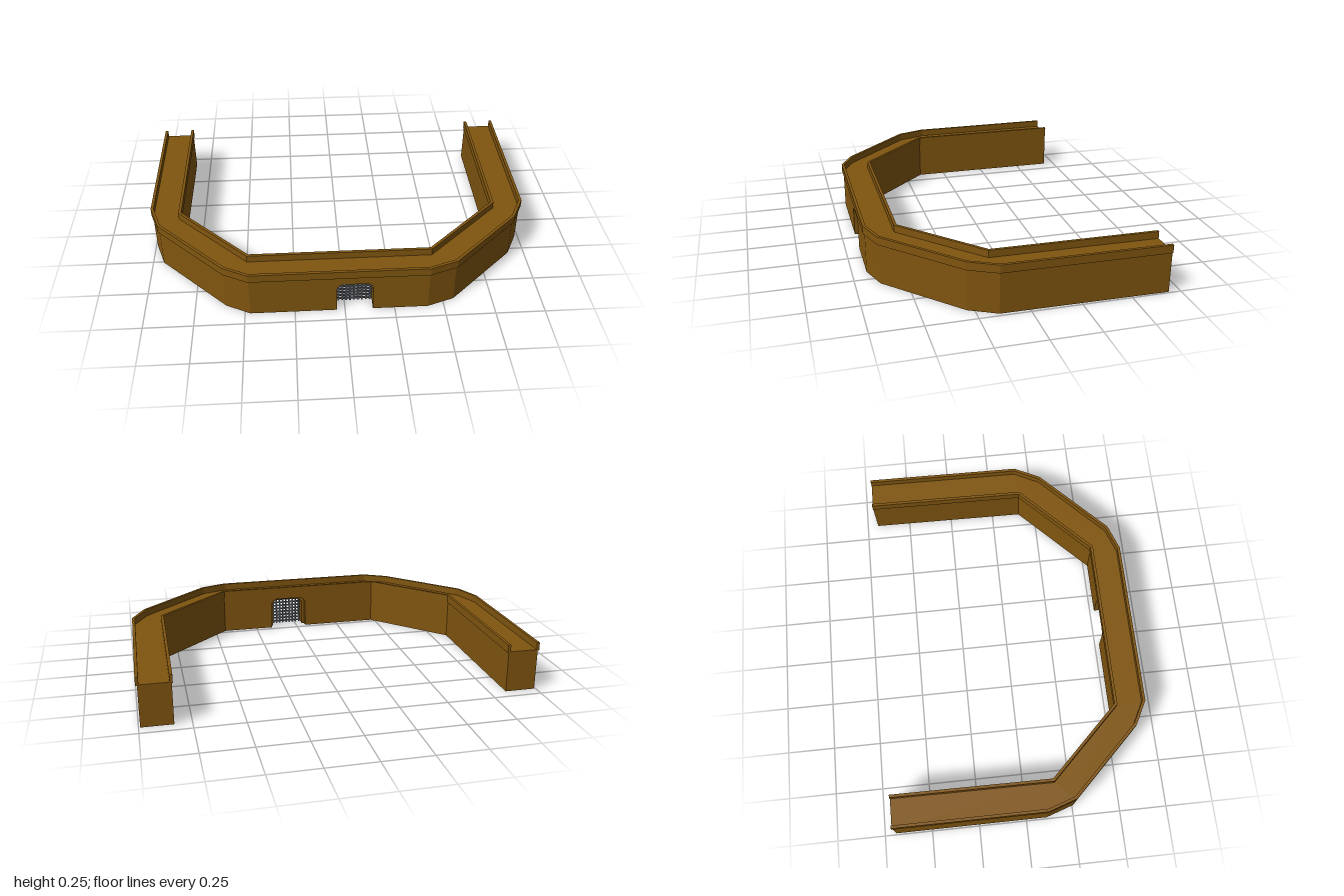
import * as THREE from 'three';

const brown = new THREE.MeshStandardMaterial({ color: 0x80550f });
const iron = new THREE.MeshStandardMaterial({ color: 0x555a60 });

// Plan paths as [x, z], running from the right leg round the front to the left leg
const outer = [[-1, -0.69], [-1, 0.11], [-0.95, 0.26], [-0.6, 0.62], [-0.475, 0.685],
  [0.42, 0.685], [0.56, 0.635], [0.92, 0.29], [0.99, 0.15], [1, -0.69]];
const inner = [[-0.83, -0.69], [-0.835, 0.15], [-0.475, 0.52], [0.44, 0.52], [0.82, 0.155], [0.83, -0.69]];

const WALK = 0.215, TOP = 0.252, RAIL_BASE = 0.21, RAIL = 0.015;
const GATE_X = 0.05, BLOCK = 0.12; // gate centre and half width of the gate block

// Mitred offset of an open path towards the courtyard
function offset(path, d) {
  const normal = (a, b) => new THREE.Vector2(b[1] - a[1], a[0] - b[0]).normalize();
  return path.map((p, i) => {
    const n1 = normal(path[Math.max(i - 1, 0)], path[Math.max(i, 1)]);
    const last = path.length - 1;
    const n2 = normal(path[Math.min(i, last - 1)], path[Math.min(i + 1, last)]);
    const m = n1.clone().add(n2).normalize();
    const k = d / m.dot(n1);
    return [p[0] + m.x * k, p[1] + m.y * k];
  });
}

function add(group, name, geometry, material = brown) {
  const mesh = new THREE.Mesh(geometry, material);
  mesh.name = name;
  group.add(mesh);
  return mesh;
}

// Plan polygon raised from y0 to y1
function raise(points, y0, y1) {
  const shape = new THREE.Shape(points.map(([x, z]) => new THREE.Vector2(x, -z)));
  return new THREE.ExtrudeGeometry(shape, { depth: y1 - y0, bevelEnabled: false })
    .rotateX(-Math.PI / 2).translate(0, y0, 0);
}

// Slice of the gate block with a round-cornered opening, from z0 to z1
function gateSlice(half, height, radius, z0, z1) {
  const s = new THREE.Shape();
  s.moveTo(-BLOCK, 0);
  s.lineTo(-half, 0);
  s.lineTo(-half, height - radius);
  s.absarc(-half + radius, height - radius, radius, Math.PI, Math.PI / 2, true);
  s.absarc(half - radius, height - radius, radius, Math.PI / 2, 0, true);
  s.lineTo(half, 0);
  s.lineTo(BLOCK, 0);
  s.lineTo(BLOCK, WALK);
  s.lineTo(-BLOCK, WALK);
  return new THREE.ExtrudeGeometry(s, { depth: z1 - z0, bevelEnabled: false, curveSegments: 6 })
    .translate(GATE_X, 0, z0);
}

export function createModel() {
  const model = new THREE.Group();
  model.name = 'fortressWall';

  // Wall body either side of the gate
  const out = offset(outer, 0.008), inn = offset(inner, -0.005);
  const zFront = out[4][1], zBack = inn[2][1];
  const x0 = GATE_X - BLOCK, x1 = GATE_X + BLOCK;
  add(model, 'rightWall', raise(
    [...out.slice(0, 5), [x0, zFront], [x0, zBack], ...inn.slice(0, 3).reverse()], 0, WALK));
  add(model, 'leftWall', raise(
    [[x1, zFront], ...out.slice(5), ...inn.slice(3).reverse(), [x1, zBack]], 0, WALK));

  // Gate block, with a wider recess on the courtyard side
  const zStep = 0.56;
  add(model, 'gateFront', gateSlice(0.09, 0.165, 0.035, zStep, zFront));
  add(model, 'gateRecess', gateSlice(0.105, 0.18, 0.04, zBack, zStep));

  // Low parapets along both edges of the walkway
  add(model, 'outerParapet', raise([...outer, ...offset(outer, RAIL).reverse()], RAIL_BASE, TOP));
  add(model, 'innerParapet', raise([...offset(inner, -RAIL), ...inner.slice().reverse()], RAIL_BASE, TOP));

  // Portcullis of crossed bars
  const gate = new THREE.Group();
  gate.name = 'portcullis';
  gate.position.set(GATE_X, 0, 0.605);
  const t = 0.008, step = 0.02;
  for (let i = -4; i <= 4; i++) {
    const h = Math.abs(i) === 4 ? 0.155 : 0.168;
    add(gate, 'verticalBar', new THREE.BoxGeometry(t, h, t), iron).position.set(i * step, h / 2, 0);
  }
  for (let j = 0; j < 8; j++) {
    const w = j === 7 ? 0.16 : 0.18;
    add(gate, 'crossBar', new THREE.BoxGeometry(w, t, t), iron).position.set(0, 0.012 + j * step, 0);
  }
  model.add(gate);
  return model;
}
